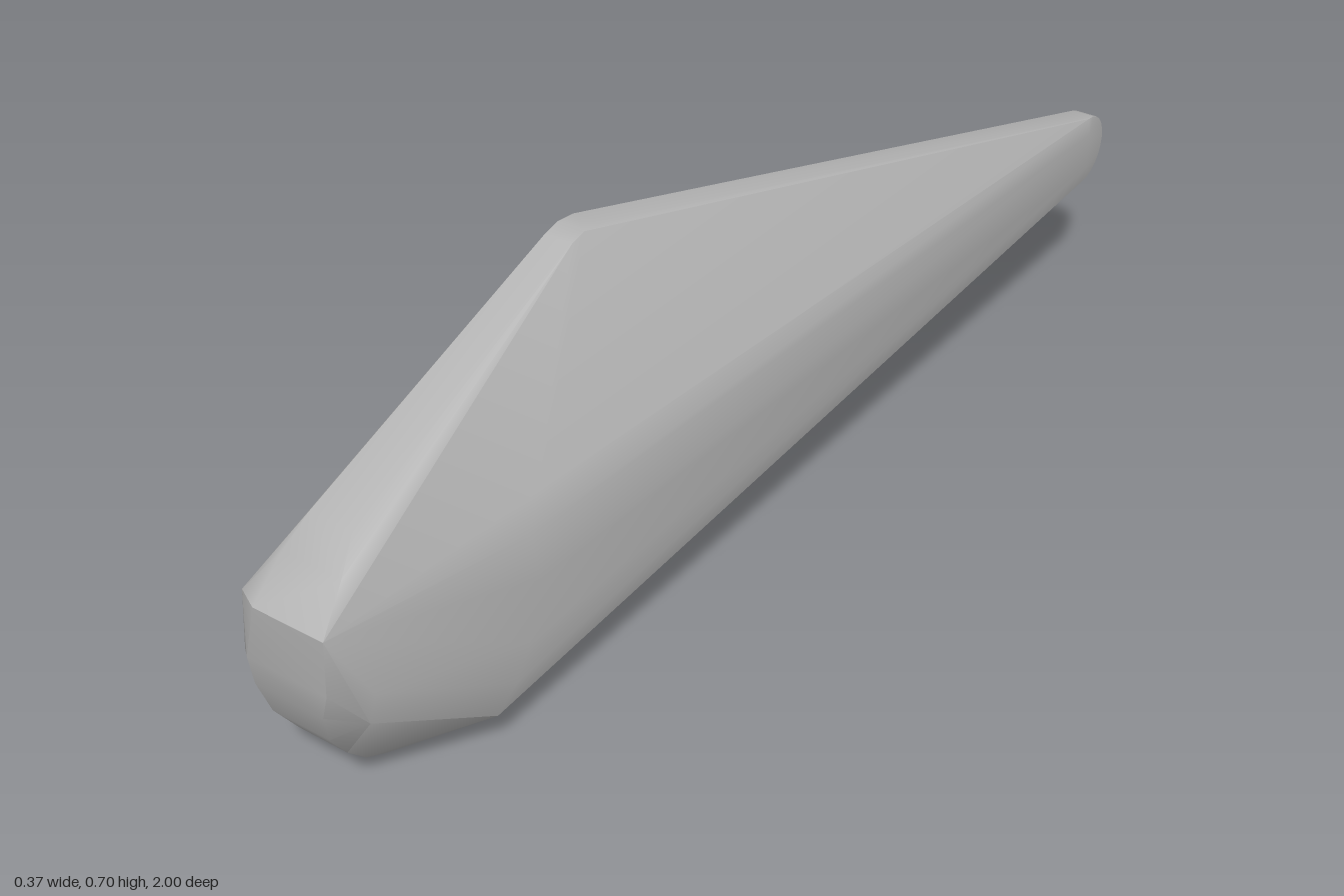
import * as THREE from 'three';
import { ConvexGeometry } from 'three/addons/geometries/ConvexGeometry.js';
import { mergeVertices, toCreasedNormals } from 'three/addons/utils/BufferGeometryUtils.js';

export function createModel() {
  const group = new THREE.Group();
  group.name = 'taperedWedge';
  const grey = new THREE.MeshStandardMaterial({ color: 0xb4b4b4 });
  grey.name = 'stone grey';

  const points = [];
  const add = (x, y, z) => points.push(new THREE.Vector3(x, y, z));

  // Rounded tail: half-round end with slightly eased side edges
  for (let i = 0; i <= 12; i++) {
    const a = (i / 12) * Math.PI;
    const y = 0.335 + 0.066 * Math.cos(a), z = -0.934 - 0.066 * Math.sin(a);
    add(0.135, y, z);
    add(0.178, y, z);
  }
  add(0.184, 0.37, -0.93);
  add(0.184, 0.3, -0.93);

  // Narrow peak
  for (const [y, z] of [[0.69, 0.36], [0.697, 0.33], [0.692, 0.29]]) {
    add(-0.088, y, z);
    add(-0.037, y, z);
  }

  // Brow running down to the nose: [left x, right x, y, z]
  const brow = [[-0.11, -0.03, 0.487, 0.87], [-0.11, 0.0, 0.455, 0.93], [-0.105, 0.025, 0.405, 1]];
  // Rounded front keel, narrowing to the underside
  const keel = [
    [-0.135, 0.015, 0.3, 0.997], [-0.14, -0.01, 0.24, 0.985], [-0.14, -0.03, 0.17, 0.96],
    [-0.135, -0.04, 0.11, 0.92], [-0.13, -0.05, 0.06, 0.875], [-0.12, -0.06, 0.025, 0.825],
    [-0.115, -0.065, 0.006, 0.78], [-0.11, -0.067, 0, 0.74],
  ];
  for (const [l, r, y, z] of [...brow, ...keel]) {
    add(l, y, z);
    add(r, y, z);
  }

  // Left-hand cheek edge in the front elevation
  for (const [x, y, z] of [
    [-0.165, 0.4, 0.61], [-0.172, 0.4, 0.85], [-0.15, 0.4, 0.975], [-0.183, 0.33, 0.89],
    [-0.185, 0.26, 0.88], [-0.181, 0.18, 0.85], [-0.17, 0.105, 0.8], [-0.15, 0.3, 0.985],
  ]) add(x, y, z);

  // Opposite flank, swelling and then folding in toward the nose
  for (const [x, y, z] of [
    [0.075, 0.43, 0.6], [0.09, 0.385, 0.64], [0.098, 0.3, 0.63], [0.096, 0.2, 0.66],
    [0.09, 0.14, 0.69], [0.075, 0.09, 0.72], [0.04, 0.27, 0.93], [0.035, 0.22, 0.94],
  ]) add(x, y, z);

  // Join the rounded hull and keep only the tight edges crisp
  const hull = new ConvexGeometry(points);
  hull.deleteAttribute('normal');
  const smooth = mergeVertices(hull, 1e-4);
  const body = new THREE.Mesh(toCreasedNormals(smooth, 0.65), grey);
  body.name = 'body';
  group.add(body);
  return group;
}
